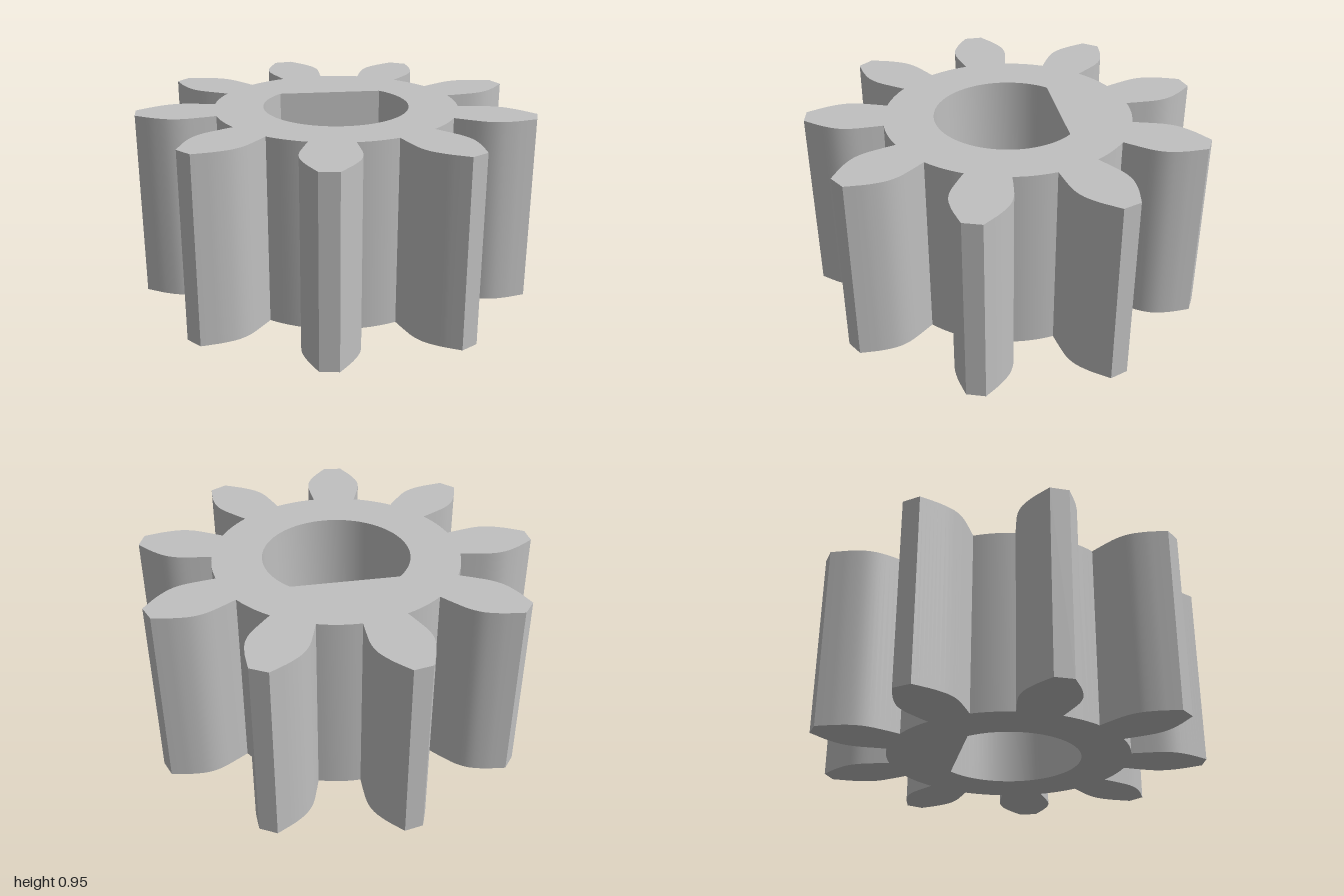
import * as THREE from 'three';
import { toCreasedNormals } from 'three/addons/utils/BufferGeometryUtils.js';

const TEETH = 9;
const HEIGHT = 0.95;
const ROOT_RADIUS = 0.62;
const BORE_RADIUS = 0.37;
const BORE_FLAT = 0.257; // distance of the flat from the axis
const FIRST_TOOTH = THREE.MathUtils.degToRad(181.4);

// Half a tooth: distance along the tooth axis, half width
const flank = new THREE.SplineCurve([
  [0.61, 0.11], [0.69, 0.127], [0.77, 0.14], [0.84, 0.134],
  [0.91, 0.106], [0.96, 0.077], [1.0077, 0.047],
].map(([u, v]) => new THREE.Vector2(u, v))).getPoints(18);

function gearOutline() {
  const points = [];
  const step = (Math.PI * 2) / TEETH;
  const rootHalf = Math.atan2(flank[0].y, flank[0].x);
  const origin = new THREE.Vector2();
  for (let i = 0; i < TEETH; i++) {
    const angle = FIRST_TOOTH + i * step;
    const add = (u, v) => points.push(new THREE.Vector2(u, v).rotateAround(origin, angle));
    // Up one flank, across the flat tip, down the other
    flank.forEach((p) => add(p.x, -p.y));
    [...flank].reverse().forEach((p) => add(p.x, p.y));
    // Root arc to the next tooth
    for (let k = 1; k < 6; k++) {
      const a = rootHalf + ((step - 2 * rootHalf) * k) / 6;
      add(ROOT_RADIUS * Math.cos(a), ROOT_RADIUS * Math.sin(a));
    }
  }
  return points;
}

export function createModel() {
  const group = new THREE.Group();
  group.name = 'pinionGear';
  const steel = new THREE.MeshStandardMaterial({ color: 0xc0c0c0 });
  steel.name = 'plain grey';

  const shape = new THREE.Shape(gearOutline());

  // D-shaped shaft bore
  const flatAngle = Math.asin(BORE_FLAT / BORE_RADIUS);
  const bore = [];
  for (let k = 0; k <= 64; k++) {
    const a = Math.PI - flatAngle + ((Math.PI + 2 * flatAngle) * k) / 64;
    bore.push(new THREE.Vector2(BORE_RADIUS * Math.cos(a), BORE_RADIUS * Math.sin(a)));
  }
  shape.holes.push(new THREE.Path(bore));

  const geometry = new THREE.ExtrudeGeometry(shape, { depth: HEIGHT, bevelEnabled: false });
  geometry.rotateX(-Math.PI / 2);

  const gear = new THREE.Mesh(toCreasedNormals(geometry, 0.4), steel);
  gear.name = 'gearBody';
  gear.position.set(0.0187, 0, -0.003);
  group.add(gear);
  return group;
}
